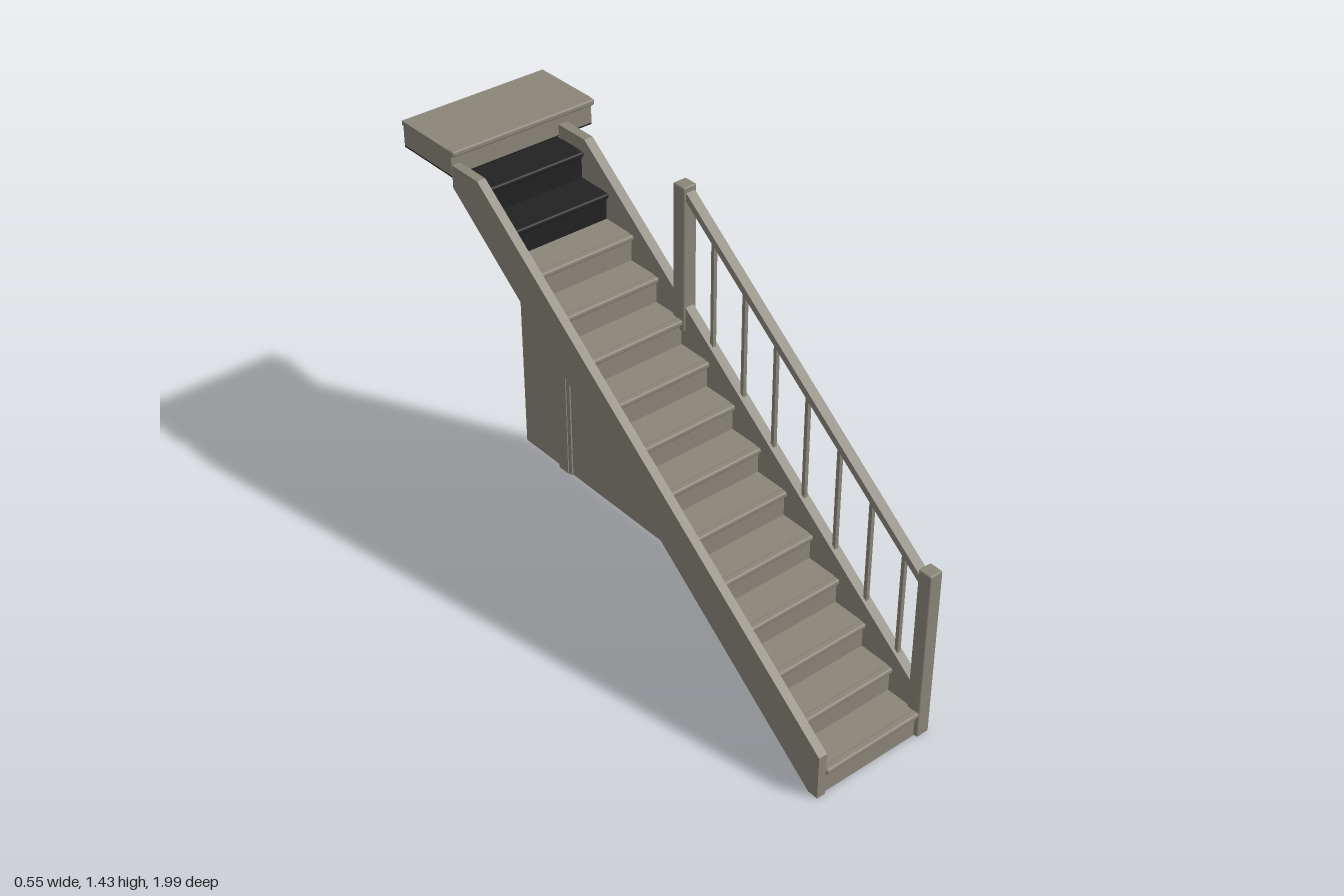
import * as THREE from 'three';
import { RoundedBoxGeometry } from 'three/addons/geometries/RoundedBoxGeometry.js';

export function createModel() {
  const wood = new THREE.MeshStandardMaterial({ color: 0x8a8579 });
  wood.name = 'stone grey wood';
  const black = new THREE.MeshStandardMaterial({ color: 0x222222 });
  black.name = 'charcoal';

  const model = new THREE.Group();
  model.name = 'staircase';

  const add = (name, geometry, material = wood) => {
    const mesh = new THREE.Mesh(geometry, material);
    mesh.name = name;
    model.add(mesh);
    return mesh;
  };
  // Boxes are given by their limits on each axis; r rounds the edges
  const box = (name, [x0, x1], [y0, y1], [z0, z1], material = wood, r = 0) => {
    const size = [x1 - x0, y1 - y0, z1 - z0];
    const geometry = r ? new RoundedBoxGeometry(...size, 2, r) : new THREE.BoxGeometry(...size);
    geometry.translate((x0 + x1) / 2, (y0 + y1) / 2, (z0 + z1) / 2);
    return add(name, geometry, material);
  };
  // Side profile of [z, y] points, extruded from x0 to x1
  const board = (name, points, x0, x1) => {
    const shape = new THREE.Shape(points.map(([z, y]) => new THREE.Vector2(-z, y)));
    const geometry = new THREE.ExtrudeGeometry(shape, { depth: x1 - x0, bevelEnabled: false });
    geometry.rotateY(Math.PI / 2).translate(x0, 0, 0);
    return add(name, geometry);
  };

  // Stringers on both sides
  const slope = 0.772;
  const topEdge = (z) => 1.384 - (z + 0.598) * slope;
  const stringer = [
    [0.985, 0], [0.946, 0], [-0.73, 1.305], [-0.73, 1.384],
    [-0.598, 1.384], [0.985, topEdge(0.985)],
  ];
  board('leftStringer', stringer, 0.133, 0.166);
  board('rightStringer', stringer, -0.278, -0.247);

  // Steps: riser, tread board and rounded nosing; the top two are black
  const rise = 0.0955, run = 0.1225, stepX = [-0.248, 0.134];
  for (let i = 0; i < 14; i++) {
    const top = 0.098 + i * rise;
    const nose = 0.992 - i * run;
    const mat = i < 12 ? wood : black;
    box('riser', stepX, [Math.max(0, top - rise - 0.004), top - 0.018], [nose - 0.028, nose - 0.014], mat);
    box('tread', stepX, [top - 0.019, top - 0.001], [nose - run - 0.016, nose - 0.024], mat);
    box('nosing', stepX, [top - 0.02, top], [nose - 0.027, nose], mat, 0.007);
  }

  // Upper landing
  box('landingBody', [-0.276, 0.268], [1.343, 1.415], [-0.992, -0.735]);
  box('landingBoard', [-0.278, 0.273], [1.414, 1.429], [-0.996, -0.745]);
  box('landingNosing', [-0.278, 0.273], [1.41, 1.431], [-0.757, -0.72], wood, 0.007);
  box('landingUnderside', [-0.276, 0.268], [1.338, 1.343], [-0.992, -0.735], black);

  // Wall below the stairs and landing, with the trim between its panels
  board('wallTriangle', [[0.946, 0], [0.946, 0.001], [-0.725, 1.305], [-0.725, 0]], 0.138, 0.161);
  box('wallPanel', [0.138, 0.161], [0, 1.34], [-0.992, -0.78]);
  box('wallTrim', [0.132, 0.17], [0, 1.34], [-0.737, -0.72]);
  box('wallPost', [0.128, 0.177], [0, 1.34], [-0.788, -0.737]);

  // Newel posts
  box('lowerNewel', [0.127, 0.177], [0, 0.63], [0.942, 0.993], wood, 0.006);
  box('upperNewel', [0.125, 0.176], [0.915, 1.427], [-0.158, -0.106], wood, 0.006);

  // Handrail between the newels
  const railTop = (z) => 0.602 + (0.945 - z) * 0.767;
  const railEnds = [0.95, -0.115];
  board('handrail', [
    [railEnds[0], railTop(railEnds[0])], [railEnds[0], railTop(railEnds[0]) - 0.03],
    [railEnds[1], railTop(railEnds[1]) - 0.03], [railEnds[1], railTop(railEnds[1])],
  ], 0.134, 0.168);

  // Balusters standing on the left stringer
  for (let i = 0; i < 7; i++) {
    const z = 0.865 - i * 0.1433;
    box('baluster', [0.144, 0.157], [topEdge(z) - 0.015, railTop(z) - 0.015], [z - 0.0065, z + 0.0065]);
  }

  return model;
}
